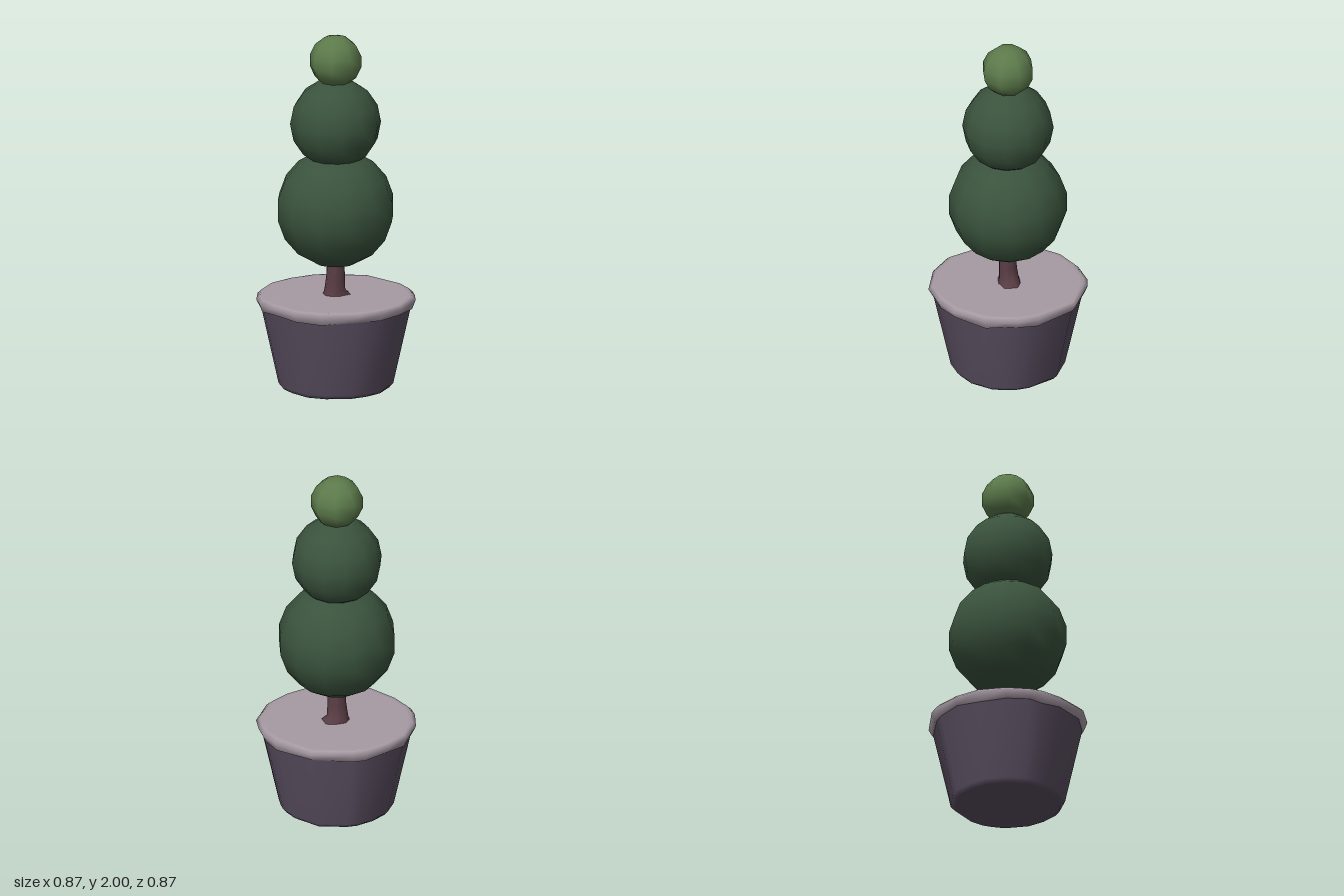
import * as THREE from 'three';

const material = (name, color) => new THREE.MeshStandardMaterial({ name, color });

// Slightly irregular pot outline [x, z], anticlockwise from above
const OUTLINE = [
  [0.435, 0], [0.415, -0.15], [0.31, -0.32], [0.22, -0.38], [0.15, -0.415], [0.03, -0.435],
  [-0.22, -0.39], [-0.38, -0.22], [-0.415, -0.15], [-0.435, 0], [-0.415, 0.15], [-0.33, 0.29],
  [-0.22, 0.38], [-0.15, 0.413], [-0.02, 0.43], [0.17, 0.41], [0.3, 0.32], [0.415, 0.15],
];

// Smooth skin through rings of points listed from bottom to top
function skin(rings) {
  const n = rings[0].length;
  const index = [];
  for (let r = 0; r < rings.length - 1; r++) {
    for (let i = 0; i < n; i++) {
      const j = (i + 1) % n, a = r * n, b = a + n;
      index.push(a + i, a + j, b + j, a + i, b + j, b + i);
    }
  }
  const g = new THREE.BufferGeometry();
  g.setAttribute('position', new THREE.Float32BufferAttribute(rings.flat(2), 3));
  g.setIndex(index);
  g.computeVertexNormals();
  return g;
}

// Outline scaled by s at height y, with an optional uneven edge
const ring = (s, y, wobble = 0) =>
  OUTLINE.map(([x, z], i) => [x * s, y + wobble * Math.sin(i * 2.3), z * s]);

export function createModel() {
  const model = new THREE.Group();
  const darkLeaf = material('dark leaf green', 0x3a533d);
  const lightLeaf = material('light leaf green', 0x5c7a4b);
  const potPurple = material('pot purple', 0x5a4e60);
  const rimGrey = material('rim pale mauve', 0xa699a3);
  const bark = material('bark brown', 0x5a3e45);

  const add = (name, geometry, mat) => {
    const mesh = new THREE.Mesh(geometry, mat);
    mesh.name = name;
    model.add(mesh);
    return mesh;
  };

  // Tapered pot with a softened foot
  add('pot', skin([ring(0.001, 0), ring(0.67, 0), ring(0.72, 0.025), ring(0.945, 0.475)]), potPurple);

  // Pale rim and filled top
  add('rim', skin([
    ring(0.93, 0.458, 0.008), ring(0.955, 0.46, 0.008), ring(1, 0.503),
    ring(0.955, 0.522), ring(0.9, 0.522), ring(0.001, 0.522),
  ]), rimGrey);

  // Trunk: leaning, with uneven roots at its foot
  const trunkRings = [[0.51, 0.068, -0.008], [0.55, 0.058, -0.006], [0.62, 0.052, 0], [0.8, 0.045, 0.006]]
    .map(([y, r, cx], k) => Array.from({ length: 8 }, (_, i) => {
      const a = i * Math.PI / 4;
      const root = k === 0 && (i === 1 || i === 2) ? 1.5 : 1;
      return [cx + Math.cos(a) * r * root, y, -Math.sin(a) * r * root];
    }));
  add('trunk', skin(trunkRings), bark);

  // Clipped foliage balls, largest at the bottom
  [
    ['lowerFoliage', 0.33, 1.015, 12, 9, darkLeaf, 0.1],
    ['middleFoliage', 0.252, 1.5, 12, 8, darkLeaf, 0],
    ['topFoliage', 0.147, 1.853, 8, 7, lightLeaf, 0],
  ].forEach(([name, r, y, sides, rows, mat, turn]) => {
    const ball = add(name, new THREE.SphereGeometry(r, sides, rows), mat);
    ball.position.y = y;
    ball.rotation.y = turn;
  });

  return model;
}
